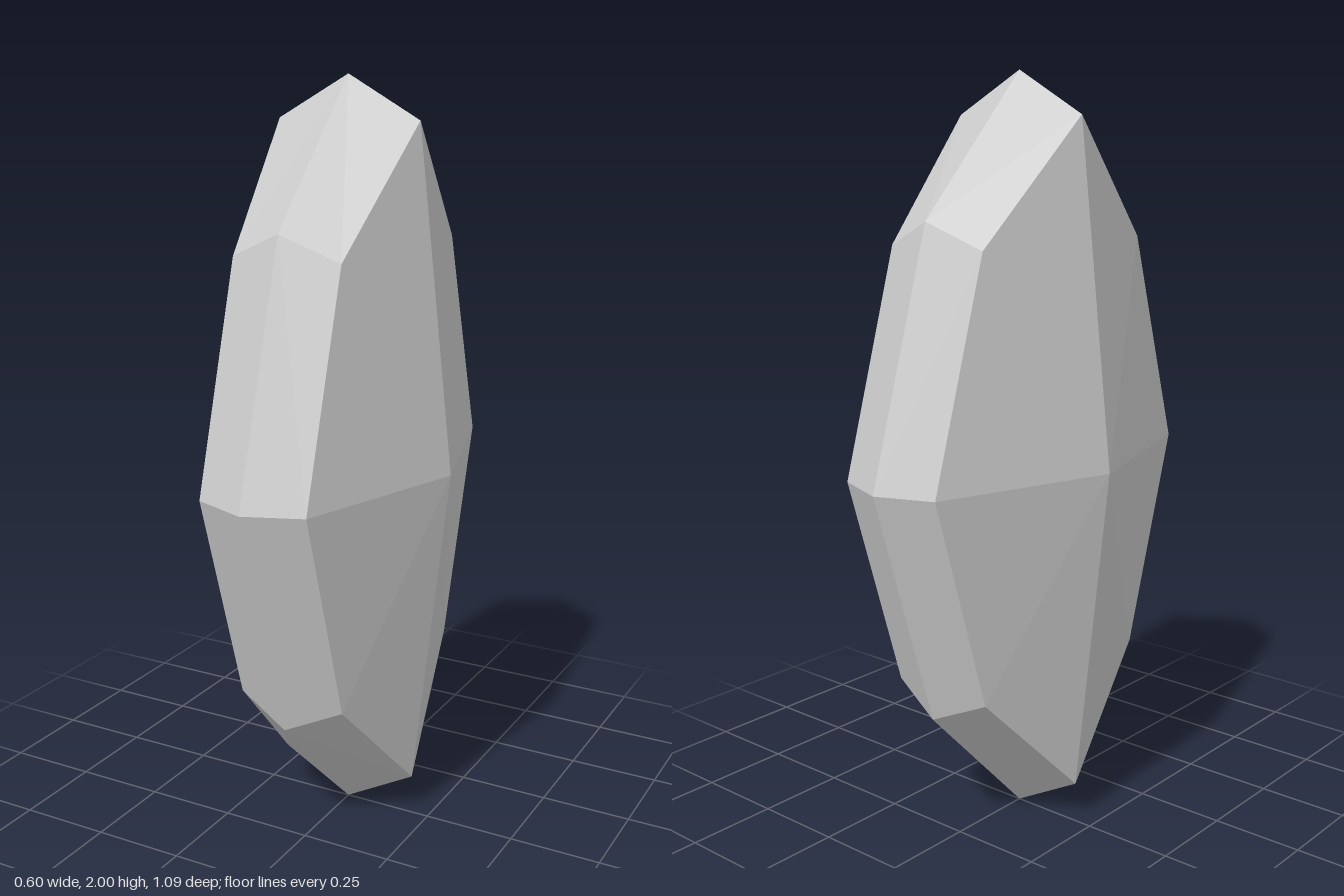
import * as THREE from 'three';

// Rings as [x, y above centre, z], from the top round the front, mirrored below and behind
const RIM = [[0, 1, 0], [0, 0.64, 0.35], [0, 0, 0.545]];
const BEVEL = [[0.2, 0.89, 0], [0.15, 0.575, 0.313], [0.15, 0, 0.487]];
const APEX = [0.3, 1, 0];

function fullRing([top, shoulder, side]) {
  const at = ([x, y, z], sy, sz) => [x, 1 + sy * y, sz * z];
  return [
    at(top, 1, 1), at(shoulder, 1, 1), at(side, 1, 1), at(shoulder, -1, 1),
    at(top, -1, 1), at(shoulder, -1, -1), at(side, 1, -1), at(shoulder, 1, -1),
  ];
}

function facets(triangles, side) {
  const positions = [];
  for (const [a, b, c] of triangles) {
    // Mirrored half needs the opposite winding
    for (const p of side > 0 ? [a, b, c] : [a, c, b]) positions.push(side * p[0], p[1], p[2]);
  }
  const geometry = new THREE.BufferGeometry();
  geometry.setAttribute('position', new THREE.Float32BufferAttribute(positions, 3));
  geometry.computeVertexNormals();
  return geometry;
}

export function createModel() {
  const group = new THREE.Group();
  group.name = 'crystal';
  const material = new THREE.MeshStandardMaterial({ color: 0xcccccc, flatShading: true });
  const rim = fullRing(RIM);
  const bevel = fullRing(BEVEL);
  const band = [];
  const crown = [];
  for (let i = 0; i < 8; i++) {
    const j = (i + 1) % 8;
    band.push([rim[i], rim[j], bevel[j]], [rim[i], bevel[j], bevel[i]]);
    crown.push([bevel[i], bevel[j], APEX]);
  }
  // Each half: bevelled edge band and shallow pyramid face
  for (const [label, side] of [['left', 1], ['right', -1]]) {
    for (const [part, triangles] of [['EdgeBand', band], ['Face', crown]]) {
      const mesh = new THREE.Mesh(facets(triangles, side), material);
      mesh.name = label + part;
      group.add(mesh);
    }
  }
  return group;
}
